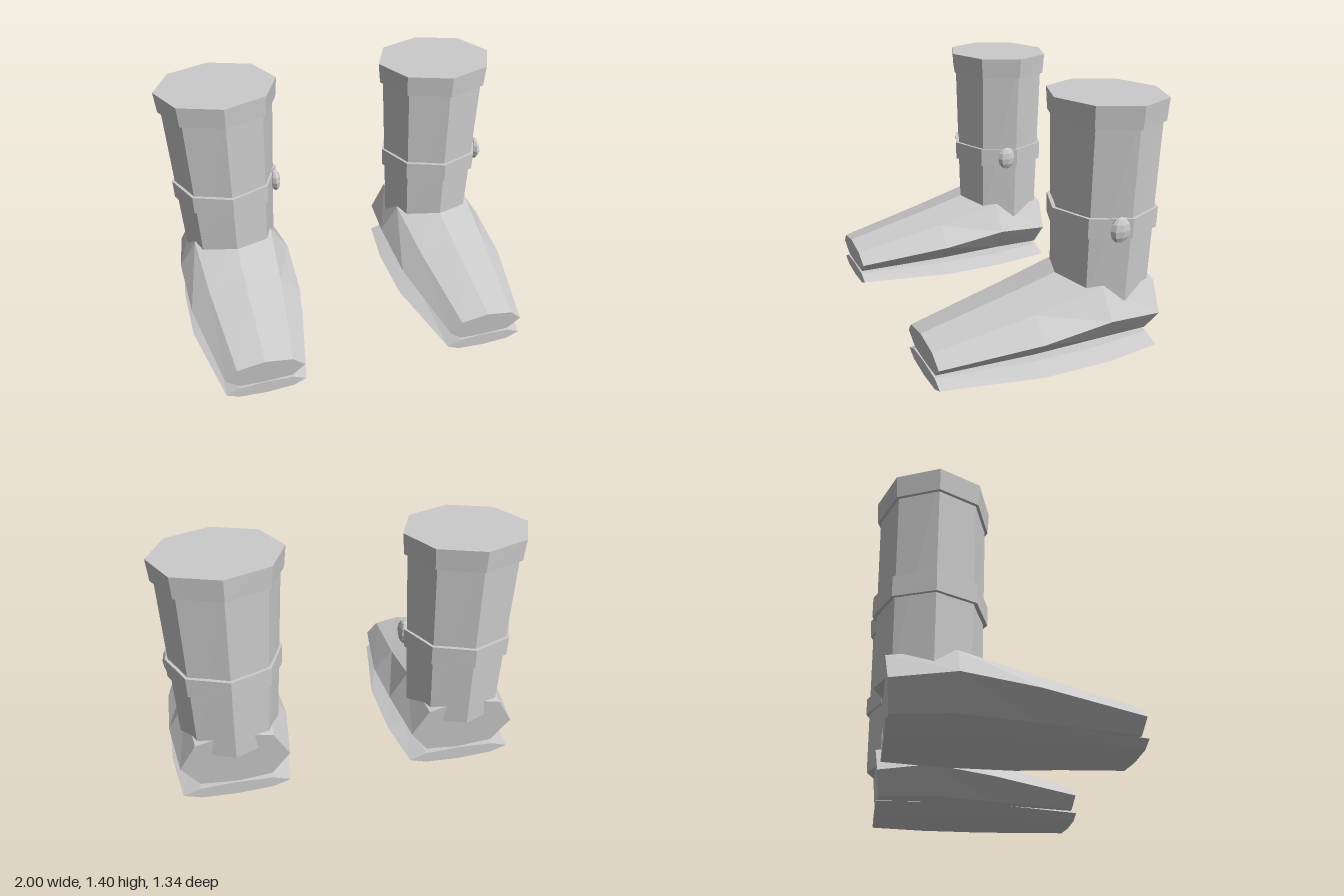
import * as THREE from 'three';

const material = new THREE.MeshStandardMaterial({ color: 0xcccccc, flatShading: true });

function addMesh(parent, name, geometry) {
  const mesh = new THREE.Mesh(geometry, material);
  mesh.name = name;
  parent.add(mesh);
  return mesh;
}

// Tapered eight-sided ring around the leg: [rx, rz] at the bottom and top
function legRing(y0, [rx0, rz0], y1, [rx1, rz1]) {
  const geo = new THREE.CylinderGeometry(1, 1, y1 - y0, 8);
  geo.translate(0, (y0 + y1) / 2, 0);
  const p = geo.attributes.position;
  for (let i = 0; i < p.count; i++) {
    const top = p.getY(i) > (y0 + y1) / 2;
    p.setX(i, p.getX(i) * (top ? rx1 : rx0));
    p.setZ(i, p.getZ(i) * (top ? rz1 : rz0));
  }
  geo.translate(0, 0, -0.364);
  return geo;
}

// Closed loft through symmetric eight-point sections, running from heel to toe.
// Section: z, lean (z shift of the top against the bottom), then
// half widths [upper, middle, lower] and heights [top, upper, middle, lower, bottom]
function loft(sections) {
  const n = 8;
  const positions = [];
  const indices = [];
  for (const { z, lean = 0, w, y } of sections) {
    const ring = [
      [0, y[0]], [w[0], y[1]], [w[1], y[2]], [w[2], y[3]],
      [0, y[4]], [-w[2], y[3]], [-w[1], y[2]], [-w[0], y[1]],
    ];
    for (const [px, py] of ring) {
      positions.push(px, py, z + lean * (py - y[2]) / (y[0] - y[4]));
    }
  }
  const last = (sections.length - 1) * n;
  for (let s = 0; s < last; s += n) {
    for (let i = 0; i < n; i++) {
      const j = (i + 1) % n;
      indices.push(s + i, s + n + i, s + j, s + j, s + n + i, s + n + j);
    }
  }
  // End caps
  for (let i = 1; i < n - 1; i++) {
    indices.push(0, i, i + 1, last, last + i + 1, last + i);
  }
  const geo = new THREE.BufferGeometry();
  geo.setAttribute('position', new THREE.Float32BufferAttribute(positions, 3));
  geo.setIndex(indices);
  const flat = geo.toNonIndexed();
  flat.computeVertexNormals();
  return flat;
}

function createBoot() {
  const boot = new THREE.Group();

  // Leg with its cuff and strap
  addMesh(boot, 'shaft', legRing(0.31, [0.272, 0.267], 1.39, [0.322, 0.283]));
  addMesh(boot, 'cuff', legRing(1.28, [0.335, 0.297], 1.4, [0.346, 0.305]));
  addMesh(boot, 'strap', legRing(0.705, [0.307, 0.294], 0.815, [0.311, 0.295]));

  // Button on the strap
  const button = addMesh(boot, 'button', new THREE.SphereGeometry(1, 8, 6));
  button.scale.set(0.032, 0.07, 0.06);
  button.position.set(0.291, 0.76, -0.3);

  // Foot
  addMesh(boot, 'foot', loft([
    { z: -0.572, lean: -0.035, w: [0.21, 0.3, 0.2], y: [0.44, 0.39, 0.235, 0.1, 0.08] },
    { z: -0.25, w: [0.235, 0.338, 0.22], y: [0.482, 0.43, 0.272, 0.115, 0.08] },
    { z: 0.13, w: [0.21, 0.325, 0.2], y: [0.38, 0.335, 0.222, 0.1, 0.08] },
    { z: 0.662, lean: 0.02, w: [0.155, 0.222, 0.15], y: [0.25, 0.222, 0.155, 0.087, 0.08] },
  ]));

  // Thin sole with the same plan
  const soleY = [0.085, 0.077, 0.045, 0.013, 0.003];
  addMesh(boot, 'sole', loft([
    { z: -0.57, w: [0.2, 0.3, 0.2], y: soleY },
    { z: -0.25, w: [0.23, 0.34, 0.23], y: soleY },
    { z: 0.13, w: [0.22, 0.335, 0.22], y: soleY },
    { z: 0.66, w: [0.155, 0.225, 0.155], y: soleY },
  ].map((s) => ({ ...s, y: s.y.map((v) => v - 0.003) }))));

  return boot;
}

export function createModel() {
  const model = new THREE.Group();
  for (const [name, x] of [['rightBoot', -0.653], ['leftBoot', 0.653]]) {
    const boot = createBoot();
    boot.name = name;
    boot.position.x = x;
    model.add(boot);
  }
  return model;
}
